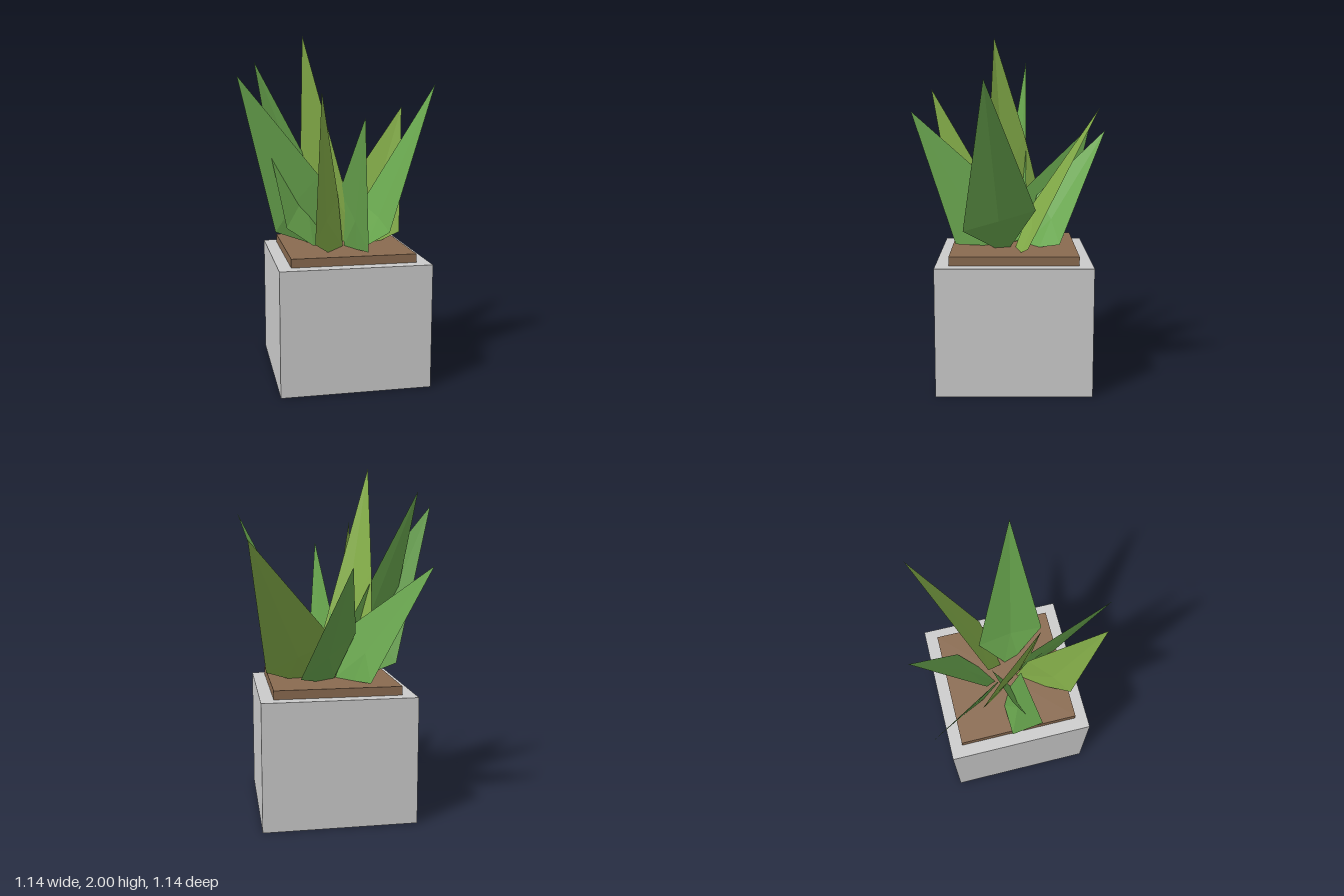
import * as THREE from 'three';

const GREEN = 0x6aa84f, LIME = 0x86b04a;

// Each leaf: colour, then its outline starting at the tip and running
// down one edge, across the base and back up the other edge.
const LEAVES = [
  [GREEN, [-0.57, 1.78, 0.01], [-0.35, 0.85, -0.08], [-0.14, 0.775, -0.08], [-0.03, 0.775, -0.02], [-0.1, 1.2, 0.03]],
  [GREEN, [-0.46, 1.86, -0.11], [-0.38, 1.33, -0.02], [-0.3, 0.9, 0.07], [-0.14, 0.785, 0.05], [0, 0.775, -0.03], [0.085, 0.83, -0.105]],
  [LIME, [-0.205, 2, 0.09], [-0.19, 1.4, -0.1], [-0.17, 0.92, -0.22], [-0.08, 0.785, -0.13], [0.03, 0.775, 0], [0.095, 0.9, 0.14]],
  [LIME, [-0.16, 1.69, 0.47], [-0.175, 0.85, 0.33], [-0.08, 0.775, 0.2], [0.04, 0.775, 0.04], [0, 1.08, 0.1]],
  [GREEN, [0.05, 1.56, 0.57], [0.135, 0.79, 0.31], [0.1, 0.775, 0.15], [0.05, 0.775, 0.03], [0.015, 1.12, 0.08]],
  [GREEN, [0.57, 1.735, 0.13], [0.27, 0.89, 0.26], [0.17, 0.775, 0.08], [0.14, 0.775, -0.01], [0.2, 1, -0.155]],
  [LIME, [0.54, 1.59, -0.47], [0.43, 0.82, -0.105], [0.3, 0.775, -0.07], [0.13, 0.775, -0.04], [0.03, 1, -0.135]],
  [GREEN, [0.005, 1.45, -0.57], [0.25, 0.81, -0.29], [0.15, 0.775, -0.18], [0.03, 0.775, -0.1], [-0.085, 1.05, -0.17]],
  [GREEN, [-0.44, 1.45, -0.525], [-0.14, 0.785, -0.34], [-0.07, 0.775, -0.2], [0.02, 0.775, -0.08], [-0.09, 1.1, -0.11]],
];

// Folded blade: a fan of facets around a slightly raised rib point
function leafGeometry(outline) {
  const pts = outline.map(p => new THREE.Vector3(...p));
  const n = pts.length;
  const rib = pts[1].clone().add(pts[n - 1]).multiplyScalar(0.5);
  const out = new THREE.Vector3(pts[0].x, 0, pts[0].z).normalize();
  rib.addScaledVector(out, 0.02);
  const tris = [];
  pts.forEach((p, i) => tris.push(rib, p, pts[(i + 1) % n]));
  const geo = new THREE.BufferGeometry().setFromPoints(tris);
  geo.computeVertexNormals();
  return geo;
}

function box(name, size, pos, color) {
  const mesh = new THREE.Mesh(
    new THREE.BoxGeometry(...size),
    new THREE.MeshStandardMaterial({ color })
  );
  mesh.name = name;
  mesh.position.set(...pos);
  return mesh;
}

export function createModel() {
  const model = new THREE.Group();
  model.name = 'pottedPlant';

  // Square pot with a slab of soil on top
  model.add(box('pot', [0.87, 0.725, 0.87], [0.05, 0.3625, -0.03], 0xcccccc));
  model.add(box('soil', [0.72, 0.05, 0.72], [0.05, 0.75, -0.03], 0x8a6b50));

  // Ring of pointed leaves
  const leaves = new THREE.Group();
  leaves.name = 'leaves';
  for (const [color, ...outline] of LEAVES) {
    const leaf = new THREE.Mesh(
      leafGeometry(outline),
      new THREE.MeshStandardMaterial({ color, flatShading: true, side: THREE.DoubleSide })
    );
    leaf.name = 'leaf';
    leaves.add(leaf);
  }
  model.add(leaves);
  return model;
}
